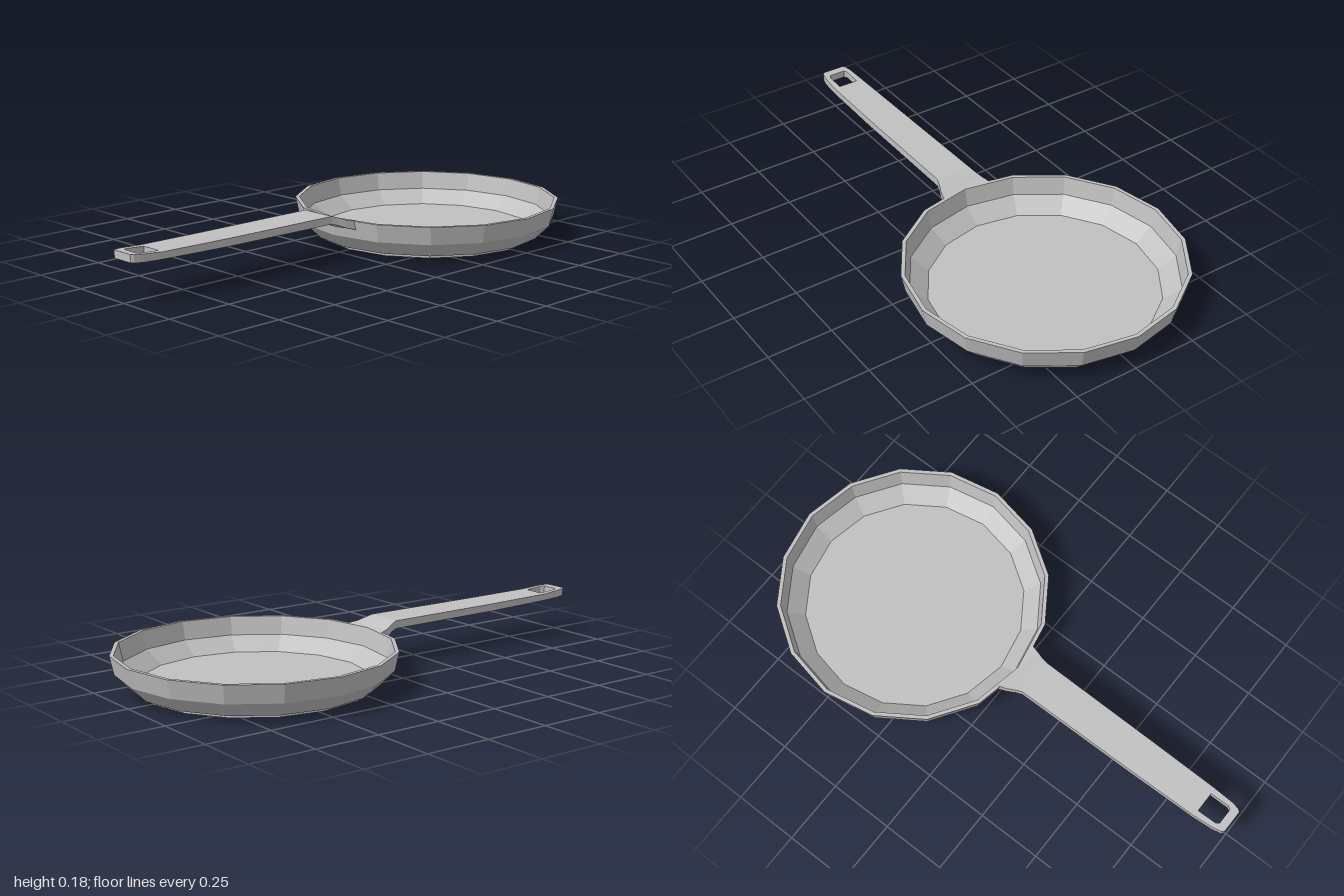
import * as THREE from 'three';

const metal = new THREE.MeshStandardMaterial({ color: 0xc0c0c0 });
metal.name = 'grey metal';

// Faceted mesh: every face keeps its own normal
function facetedMesh(geometry, name) {
  const flat = geometry.index ? geometry.toNonIndexed() : geometry;
  flat.computeVertexNormals();
  const mesh = new THREE.Mesh(flat, metal);
  mesh.name = name;
  return mesh;
}

// Sixteen-sided pan: base disc, outer wall, rim, inner wall and floor
function makePan() {
  const profile = [
    [0, 0], [0.425, 0], [0.425, 0.014], [0.45, 0.014], [0.505, 0.07], [0.52, 0.14],
    [0.505, 0.14], [0.49, 0.07], [0.425, 0.017], [0, 0.017],
  ].map(([r, y]) => new THREE.Vector2(r, y));
  const pan = facetedMesh(new THREE.LatheGeometry(profile, 16), 'pan');
  pan.position.z = -0.48;
  return pan;
}

// Handle lofted from the pan to the tip, with a rectangular hanging hole
function makeHandle() {
  // z, half width, half hole width, top y, bottom y
  const rows = [
    [0.028, 0.105, 0, 0.14, 0.105],
    [0.05, 0.092, 0, 0.148, 0.117],
    [0.08, 0.08, 0, 0.16, 0.13],
    [0.105, 0.073, 0, 0.168, 0.138],
    [0.6, 0.069, 0, 0.168, 0.139],
    [0.88, 0.065, 0, 0.17, 0.144],
    [0.88, 0.065, 0.04, 0.17, 0.144],
    [0.955, 0.06, 0.04, 0.175, 0.146],
    [0.968, 0.058, 0.032, 0.176, 0.147],
    [0.968, 0.058, 0, 0.176, 0.147],
    [0.99, 0.053, 0, 0.177, 0.148],
    [1, 0.045, 0, 0.178, 0.149],
  ];
  const positions = [];
  const va = new THREE.Vector3(), vb = new THREE.Vector3();
  // Adds a quad wound so that it faces the given direction
  function quad(corners, facing) {
    const [a, b, c, d] = corners.map((p) => new THREE.Vector3(...p));
    const normal = va.subVectors(c, a).cross(vb.subVectors(d, b));
    const order = normal.dot(new THREE.Vector3(...facing)) > 0 ? [a, b, c, a, c, d] : [a, c, b, a, d, c];
    order.forEach((p) => positions.push(p.x, p.y, p.z));
  }
  // The first row follows the angle of the pan wall
  const point = (row, x, y) => [x, y, row === rows[0] ? row[0] - 0.2 * Math.abs(x) : row[0]];
  const wall = (row, x, facing) => quad([
    point(row, -x, row[4]), point(row, x, row[4]), point(row, x, row[3]), point(row, -x, row[3]),
  ], facing);

  for (let i = 0; i < rows.length - 1; i++) {
    const p = rows[i], q = rows[i + 1];
    if (p[0] === q[0]) {
      // End wall of the hole
      wall(p, Math.max(p[2], q[2]), [0, 0, q[2] > p[2] ? 1 : -1]);
      continue;
    }
    for (const s of [-1, 1]) {
      for (const [k, up] of [[3, 1], [4, -1]]) {
        quad([
          point(p, s * p[2], p[k]), point(p, s * p[1], p[k]),
          point(q, s * q[1], q[k]), point(q, s * q[2], q[k]),
        ], [0, up, 0]);
      }
      const side = (k, facing) => quad([
        point(p, s * p[k], p[4]), point(q, s * q[k], q[4]),
        point(q, s * q[k], q[3]), point(p, s * p[k], p[3]),
      ], [facing, 0, 0]);
      side(1, s);
      if (p[2] > 0 && q[2] > 0) side(2, -s);
    }
  }
  const tip = rows[rows.length - 1];
  wall(tip, tip[1], [0, 0, 1]);

  const geometry = new THREE.BufferGeometry();
  geometry.setAttribute('position', new THREE.Float32BufferAttribute(positions, 3));
  return facetedMesh(geometry, 'handle');
}

export function createModel() {
  const group = new THREE.Group();
  group.name = 'fryingPan';
  group.add(makePan(), makeHandle());
  return group;
}
